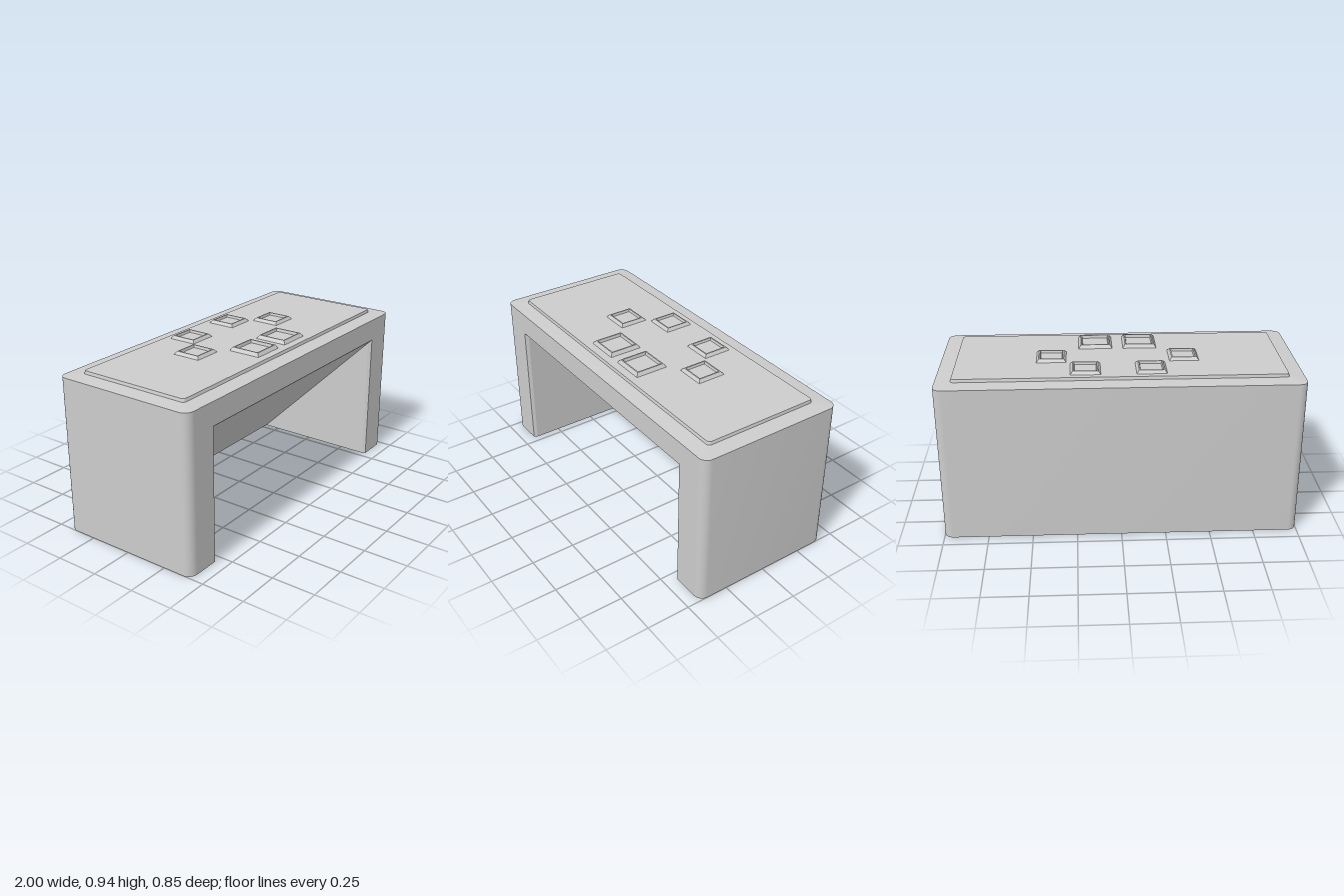
import * as THREE from 'three';
import { toCreasedNormals } from 'three/addons/utils/BufferGeometryUtils.js';

const material = new THREE.MeshStandardMaterial({ color: 0xcccccc, side: THREE.DoubleSide });

// Rounded rectangle at height y, counterclockwise from above, starting at the front left corner
function rectRing(hx, hz, y, r = 0, closed = true) {
  const seg = r > 0 ? 8 : 0;
  const signs = [[1, 1], [1, -1], [-1, -1], [-1, 1]];
  const pts = [];
  signs.forEach(([sx, sz], q) => {
    for (let s = 0; s <= seg; s++) {
      const a = (q - 1 + (seg ? s / seg : 0)) * Math.PI / 2;
      pts.push([sx * (hx - r) + r * Math.cos(a), y, sz * (hz - r) - r * Math.sin(a)]);
    }
  });
  if (closed) pts.push(pts[0]);
  return pts;
}

// Skin a list of equally long rings, optionally closing the last with a flat cap
function loft(rings, cap = false) {
  const v = [];
  const tri = (...p) => p.forEach((q) => v.push(...q));
  for (let i = 0; i + 1 < rings.length; i++) {
    for (let j = 0; j + 1 < rings[i].length; j++) {
      const a = rings[i][j], b = rings[i][j + 1], c = rings[i + 1][j + 1], d = rings[i + 1][j];
      tri(a, b, c);
      tri(a, c, d);
    }
  }
  if (cap) {
    const last = rings[rings.length - 1];
    for (let j = 0; j + 1 < last.length; j++) tri([0, last[0][1], 0], last[j], last[j + 1]);
  }
  const g = new THREE.BufferGeometry();
  g.setAttribute('position', new THREE.Float32BufferAttribute(v, 3));
  return toCreasedNormals(g, 0.4);
}

export function createModel() {
  const group = new THREE.Group();
  const add = (name, geometry) => {
    const mesh = new THREE.Mesh(geometry, material);
    mesh.name = name;
    group.add(mesh);
    return mesh;
  };

  const HX = 1, HZ = 0.425, H = 0.9, R = 0.05;

  // Sides and back with rounded vertical corners, open underneath
  add('outerWall', loft([0, H].map((y) => rectRing(HX, HZ, y, R, false))));

  // Front face with the large opening
  const front = new THREE.Shape([
    [-HX + R, 0], [-0.8, 0], [-0.8, 0.77], [0.8, 0.77], [0.8, 0], [HX - R, 0], [HX - R, H], [-HX + R, H],
  ].map(([x, y]) => new THREE.Vector2(x, y)));
  add('frontFace', new THREE.ShapeGeometry(front).translate(0, 0, HZ));

  // Narrow bevel round the opening
  const arch = (x, y, z) => [[x, 0, z], [x, y, z], [-x, y, z], [-x, 0, z]];
  const IX = 0.79, IY = 0.75, IZ = 0.405, BZ = -0.345;
  add('openingBevel', loft([arch(0.8, 0.77, HZ), arch(IX, IY, IZ)]));

  // Sloping inner back and triangular inner cheeks
  add('slopedInnerBack', loft([
    [[IX, IY, IZ], [-IX, IY, IZ]],
    [[IX, 0, BZ], [-IX, 0, BZ]],
  ]));
  const cheek = new THREE.Shape([[IZ, 0], [IZ, IY], [BZ, 0]].map(([z, y]) => new THREE.Vector2(-z, y)));
  for (const side of [1, -1]) {
    const mesh = add(side > 0 ? 'leftInnerCheek' : 'rightInnerCheek', new THREE.ShapeGeometry(cheek));
    mesh.rotation.y = Math.PI / 2;
    mesh.position.x = side * IX;
  }

  // Gently sloping top with the raised panel
  add('topPanel', loft([
    rectRing(HX, HZ, H, R),
    rectRing(0.912, 0.336, 0.908, 0.02),
    rectRing(0.908, 0.332, 0.925, 0.018),
    rectRing(0.904, 0.328, 0.925, 0.016),
  ], true));

  // Square tapered buttons with a recessed face: x, z, half width, height
  const buttons = [
    [-0.17, -0.215, 0.083, 0.017], [0.19, -0.215, 0.083, 0.017],
    [-0.363, -0.03, 0.083, 0.017], [0.378, -0.03, 0.083, 0.017],
    [-0.126, 0.19, 0.096, 0.02], [0.128, 0.19, 0.096, 0.02],
  ];
  for (const [x, z, w, h] of buttons) {
    const rings = [[0, 0], [0.013, h], [0.02, h], [0.024, 0.003]]
      .map(([inset, y]) => rectRing(w - inset, w - inset, y));
    add('button', loft(rings, true)).position.set(x, 0.925, z);
  }
  return group;
}
